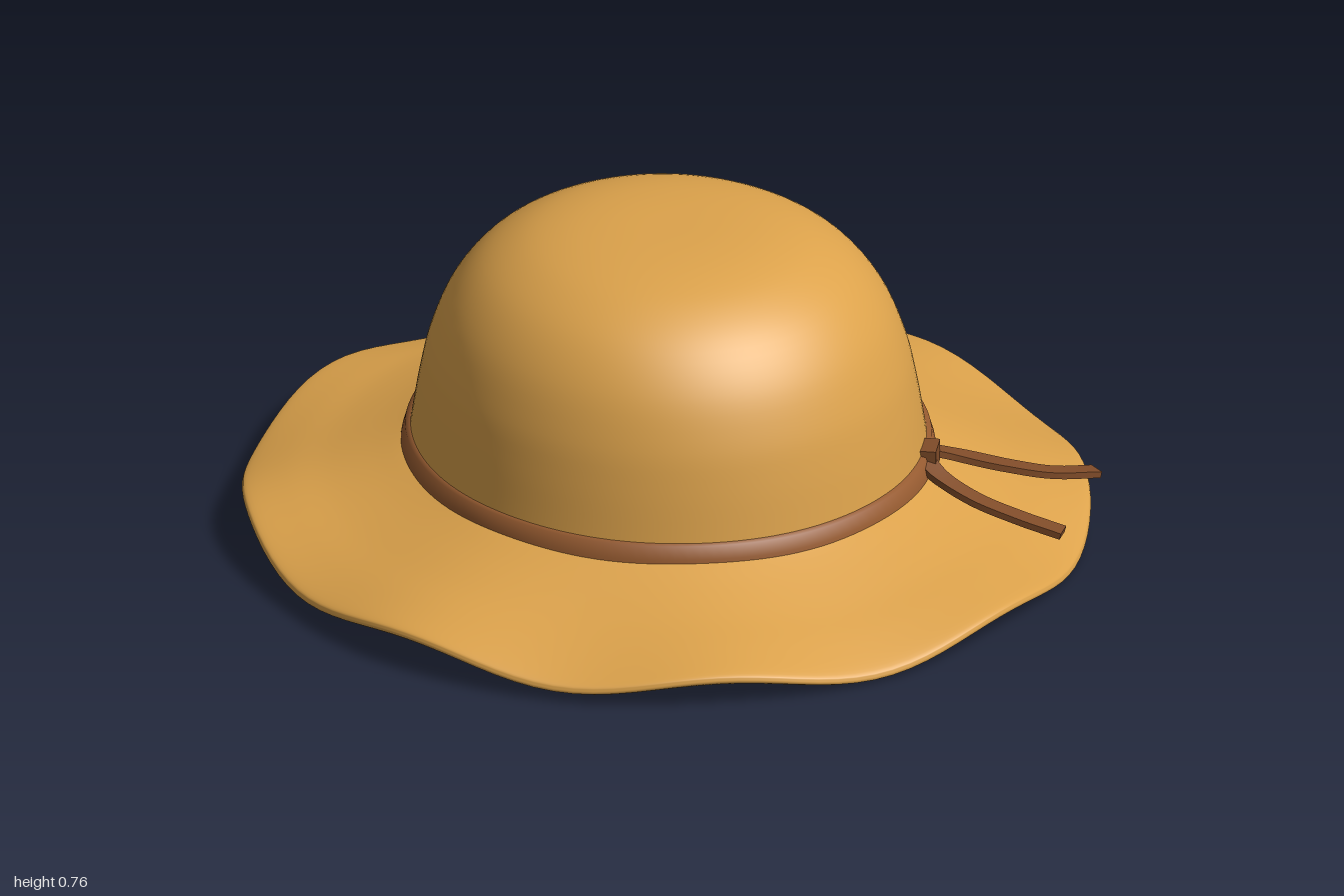
import * as THREE from 'three';
import { mergeVertices } from 'three/addons/utils/BufferGeometryUtils.js';

const straw = new THREE.MeshStandardMaterial({ color: 0xdca24b });
straw.name = 'straw';
const bandBrown = new THREE.MeshStandardMaterial({ color: 0x985c31 });
bandBrown.name = 'band brown';
const ribbonBrown = new THREE.MeshStandardMaterial({ color: 0x804c29 });
ribbonBrown.name = 'ribbon brown';

const CROWN_X = 0.025, CROWN_Z = -0.013;

// Spline-smoothed profile of [radius, y] pairs
function profile(pairs, n) {
  const curve = new THREE.SplineCurve(pairs.map(([r, y]) => new THREE.Vector2(r, y)));
  return curve.getPoints(n).map((p) => new THREE.Vector2(Math.max(p.x, 0), p.y));
}

// Lathe with a seamless surface, tilted, off-centre towards the crown, and waved at the rim
function hatSurface(points, segments = 128) {
  let g = new THREE.LatheGeometry(points, segments);
  g.deleteAttribute('uv');
  g.deleteAttribute('normal');
  g = mergeVertices(g, 1e-5);
  const p = g.attributes.position;
  for (let i = 0; i < p.count; i++) {
    const x = p.getX(i), z = p.getZ(i), r = Math.hypot(x, z);
    const wave = 0.022 * Math.cos(8 * (Math.atan2(x, z) - 0.015)) * Math.pow(r, 5);
    const shift = Math.min(1, Math.max(0, (1 - r) / 0.37));
    p.setXYZ(i, x + CROWN_X * shift, p.getY(i) + wave * (r > 0.64 ? 1 : Math.max(0, (r - 0.6) / 0.04))
      - 0.022 * z - 0.008 * x, z + CROWN_Z * shift);
  }
  g.computeVertexNormals();
  return g;
}

// Flat ribbon swept along a curve by bending a box
function ribbon(pts, width, thickness) {
  const curve = new THREE.CatmullRomCurve3(pts.map((q) => new THREE.Vector3(...q)));
  const g = new THREE.BoxGeometry(width, thickness, 1, 1, 1, 20);
  const p = g.attributes.position;
  const up = new THREE.Vector3(0, 1, 0);
  for (let i = 0; i < p.count; i++) {
    const t = Math.min(1, Math.max(0, p.getZ(i) + 0.5));
    const dir = curve.getTangent(t);
    const side = up.clone().cross(dir).normalize();
    const normal = dir.clone().cross(side);
    const v = curve.getPoint(t).addScaledVector(side, p.getX(i)).addScaledVector(normal, p.getY(i));
    p.setXYZ(i, v.x, v.y, v.z);
  }
  g.computeVertexNormals();
  return g;
}

export function createModel() {
  const hat = new THREE.Group();
  hat.name = 'sunHat';
  const add = (name, geometry, material) => {
    const mesh = new THREE.Mesh(geometry, material);
    mesh.name = name;
    hat.add(mesh);
    return mesh;
  };

  // Domed crown
  add('crown', hatSurface(profile([
    [0.617, 0.18], [0.606, 0.25], [0.588, 0.36], [0.565, 0.46], [0.52, 0.57],
    [0.45, 0.66], [0.36, 0.72], [0.26, 0.752], [0.14, 0.766], [0, 0.768],
  ], 40)), straw);

  // Wavy brim, from the closed underside around the rim to the crown
  add('brim', hatSurface(profile([
    [0, 0.145], [0.3, 0.145], [0.58, 0.14], [0.75, 0.115], [0.9, 0.075], [0.975, 0.05],
    [0.997, 0.053], [1, 0.064], [0.985, 0.077], [0.9, 0.103], [0.8, 0.13], [0.7, 0.164], [0.61, 0.2],
  ], 64)), straw);

  // Thin hat band
  add('hatBand', hatSurface([
    new THREE.Vector2(0.632, 0.187), new THREE.Vector2(0.63, 0.2),
    new THREE.Vector2(0.621, 0.232), new THREE.Vector2(0.606, 0.235),
  ]), bandBrown);

  // Knot with two ribbon tails
  const knot = add('knot', new THREE.BoxGeometry(0.072, 0.052, 0.04), ribbonBrown);
  knot.position.set(0.33, 0.207, 0.53);
  knot.rotation.y = 0.52;
  add('frontTail', ribbon([
    [0.305, 0.205, 0.535], [0.293, 0.182, 0.59], [0.312, 0.143, 0.68],
    [0.352, 0.11, 0.78], [0.392, 0.085, 0.88],
  ], 0.045, 0.016), ribbonBrown);
  add('sideTail', ribbon([
    [0.355, 0.205, 0.505], [0.42, 0.176, 0.545], [0.5, 0.143, 0.63],
    [0.585, 0.112, 0.695], [0.705, 0.079, 0.735],
  ], 0.045, 0.016), ribbonBrown);

  return hat;
}
